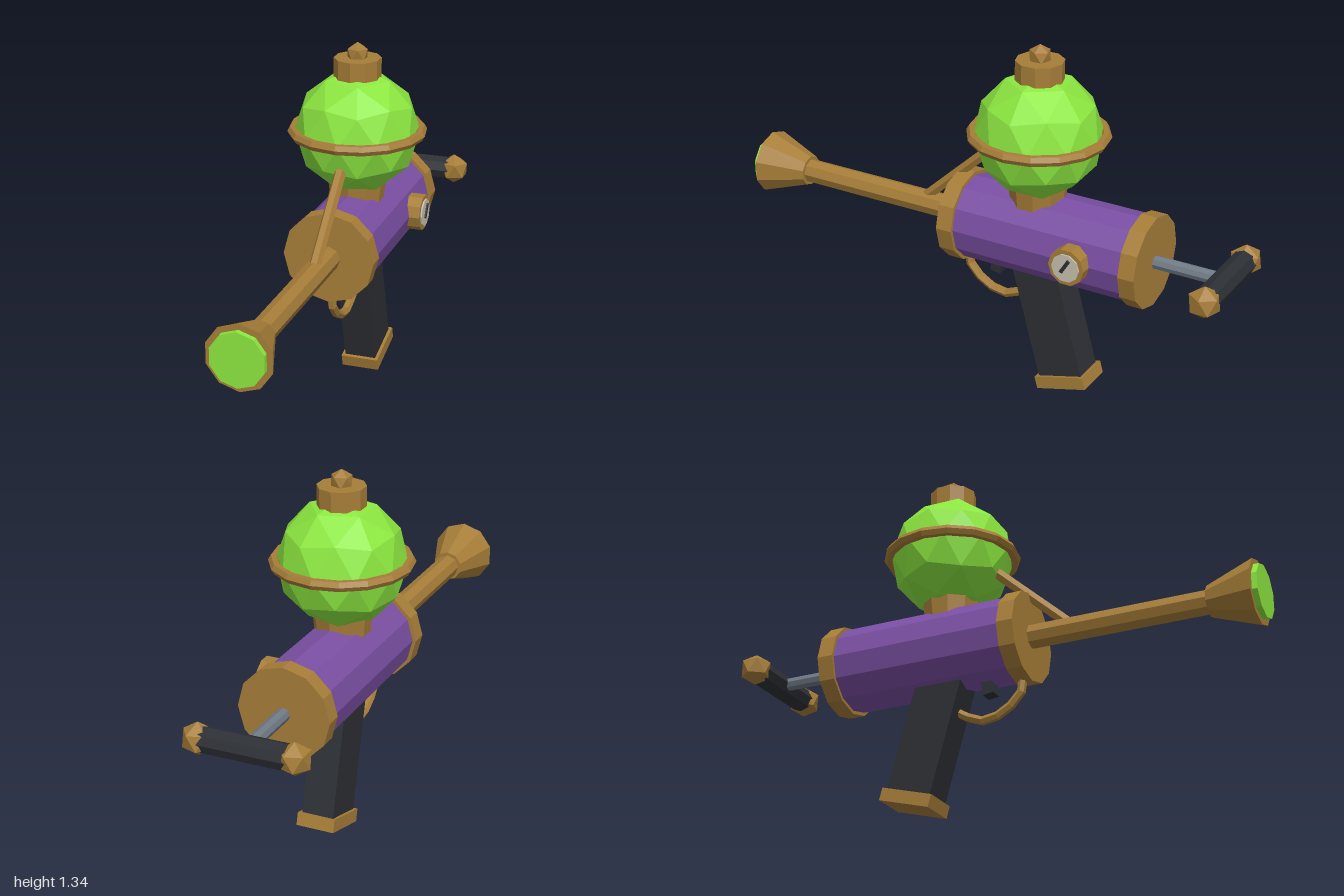
import * as THREE from 'three';

const material = (color) => new THREE.MeshStandardMaterial({ color, flatShading: true });

export function createModel() {
  const model = new THREE.Group();
  const brass = material(0xa67d38);
  const purple = material(0x7a4fa3);
  const green = material(0x8be63f);
  const dark = material(0x2c2f34);
  const steel = material(0x707a86);
  const dial = material(0xc8c0b0);
  const axisY = 0.618; // height of the barrel axis
  const tankZ = -0.21; // tank position along the body

  function add(name, geometry, mat, x, y, z, parent = model) {
    const mesh = new THREE.Mesh(geometry, mat);
    mesh.name = name;
    mesh.position.set(x, y, z);
    parent.add(mesh);
    return mesh;
  }

  // Cylinder lying along z between two z values
  function alongZ(name, mat, zBack, zFront, rBack, rFront, sides) {
    const g = new THREE.CylinderGeometry(rFront, rBack, zFront - zBack, sides).rotateX(Math.PI / 2);
    return add(name, g, mat, 0, axisY, (zBack + zFront) / 2);
  }

  // Upright cylinder between two heights, centred under the tank
  function upright(name, mat, y0, y1, r0, r1, sides) {
    const g = new THREE.CylinderGeometry(r1, r0, y1 - y0, sides);
    return add(name, g, mat, 0, (y0 + y1) / 2, tankZ);
  }

  // Faceted ball with a corner at its top and bottom
  function facetedBall(radius, detail) {
    const pole = Math.atan((1 + Math.sqrt(5)) / 2);
    return new THREE.IcosahedronGeometry(radius, detail).rotateX(-pole).rotateY(Math.PI / 2);
  }

  // Body with its end caps
  alongZ('body', purple, -0.64, 0.08, 0.16, 0.16, 12);
  alongZ('frontCap', brass, 0.055, 0.118, 0.173, 0.173, 12);
  alongZ('rearCap', brass, -0.682, -0.62, 0.173, 0.173, 12);

  // Barrel, flared muzzle and glowing nozzle
  alongZ('barrel', brass, 0.1, 0.82, 0.046, 0.046, 8);
  alongZ('muzzle', brass, 0.8, 0.98, 0.058, 0.122, 10);
  alongZ('nozzle', green, 0.95, 1.0, 0.1, 0.1, 10);

  // Pump rod and cross handle
  alongZ('pumpRod', steel, -0.93, -0.66, 0.025, 0.025, 8);
  const bar = new THREE.CylinderGeometry(0.047, 0.047, 0.35, 8).rotateZ(Math.PI / 2);
  add('pumpHandle', bar, dark, 0, axisY, -0.95);
  for (const side of [-1, 1]) {
    add('pumpHandleKnob', facetedBall(0.061, 0), brass, side * 0.176, axisY, -0.95);
  }

  // Tank with neck, band, lid and finial
  upright('tankNeck', brass, 0.73, 0.84, 0.1, 0.112, 10);
  add('tank', facetedBall(0.234, 1), green, 0, 1.005, tankZ);
  const band = new THREE.TorusGeometry(0.24, 0.02, 6, 16).rotateX(Math.PI / 2);
  add('tankBand', band, brass, 0, 1.005, tankZ);
  upright('tankLid', brass, 1.21, 1.283, 0.088, 0.088, 10);
  add('finial', facetedBall(0.043, 0), brass, 0, 1.298, tankZ);

  // Feed pipe from the tank down to the barrel
  const pipePath = new THREE.LineCurve3(
    new THREE.Vector3(0, 0.635, 0.275), new THREE.Vector3(0, 0.91, -0.025));
  add('feedPipe', new THREE.TubeGeometry(pipePath, 1, 0.022, 6), brass, 0, 0, 0);

  // Pressure gauge on the left side
  const gauge = new THREE.Group();
  gauge.name = 'gauge';
  gauge.position.set(0.15, axisY, -0.433);
  gauge.rotation.z = -Math.PI / 2;
  model.add(gauge);
  add('gaugeCase', new THREE.CylinderGeometry(0.07, 0.07, 0.07, 10), brass, 0, 0.015, 0, gauge);
  add('gaugeFace', new THREE.CylinderGeometry(0.054, 0.054, 0.012, 10), dial, 0, 0.05, 0, gauge);
  const needle = add('gaugeNeedle', new THREE.BoxGeometry(0.058, 0.008, 0.013), dark, -0.008, 0.058, 0, gauge);
  needle.rotation.y = -0.55;

  // Raked grip with its foot plate
  const grip = new THREE.Group();
  grip.name = 'grip';
  grip.position.set(0, 0.051, -0.351);
  grip.rotation.x = 0.27;
  model.add(grip);
  add('gripFoot', new THREE.BoxGeometry(0.146, 0.048, 0.206), brass, 0, 0, 0, grip);
  add('gripBlock', new THREE.BoxGeometry(0.122, 0.47, 0.18), dark, 0, 0.245, 0, grip);

  // Trigger and guard
  const trigger = add('trigger', new THREE.BoxGeometry(0.05, 0.08, 0.042), dark, 0, 0.455, -0.052);
  trigger.rotation.x = -0.15;
  const guardPath = new THREE.CatmullRomCurve3([
    [0.083, 0.47], [0.075, 0.41], [0.0, 0.342], [-0.085, 0.324], [-0.19, 0.378],
  ].map(([z, y]) => new THREE.Vector3(0, y, z)));
  add('triggerGuard', new THREE.TubeGeometry(guardPath, 6, 0.017, 6), brass, 0, 0, 0);

  return model;
}
